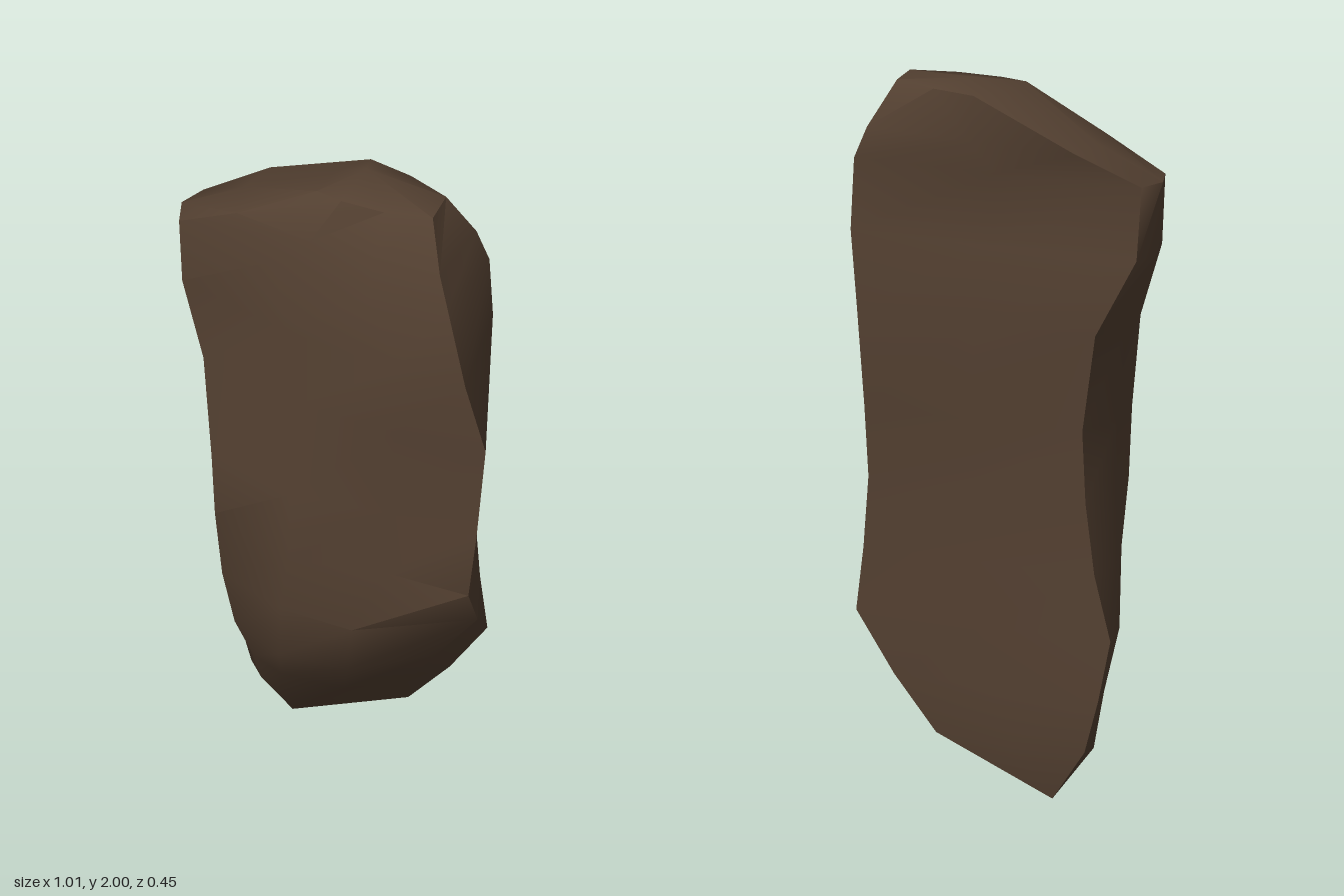
import * as THREE from 'three';
import { toCreasedNormals } from 'three/addons/utils/BufferGeometryUtils.js';

// Each section: height, then x, z of the corners
// front left, front ridge, front slope, front right, back right, back left
const sections = [
  [0.15, -0.30, -0.10, -0.22, -0.07, -0.12, -0.09, -0.02, -0.13, 0.10, -0.21, -0.36, -0.21],
  [0.30, -0.27, 0.00, -0.16, 0.04, 0.02, 0.02, 0.16, -0.10, 0.23, -0.21, -0.40, -0.205],
  [0.47, -0.28, 0.09, -0.10, 0.17, 0.10, 0.14, 0.28, -0.03, 0.345, -0.215, -0.43, -0.19],
  [0.65, -0.30, 0.125, -0.08, 0.195, 0.14, 0.19, 0.42, -0.02, 0.33, -0.20, -0.375, -0.18],
  [0.85, -0.32, 0.13, -0.04, 0.225, 0.22, 0.15, 0.475, 0.135, 0.315, -0.20, -0.345, -0.175],
  [1.05, -0.325, 0.14, -0.05, 0.195, 0.22, 0.145, 0.495, 0.125, 0.325, -0.205, -0.33, -0.165],
  [1.33, -0.38, 0.085, -0.05, 0.15, 0.25, 0.14, 0.51, 0.10, 0.34, -0.22, -0.375, -0.175],
  [1.55, -0.46, 0.06, -0.10, 0.13, 0.25, 0.145, 0.46, 0.125, 0.365, -0.21, -0.485, -0.14],
  [1.75, -0.47, 0.06, -0.15, 0.10, 0.15, 0.11, 0.375, 0.07, 0.365, -0.19, -0.48, -0.10],
  [1.84, -0.29, 0.06, -0.05, 0.08, 0.15, 0.075, 0.34, 0.05, 0.33, -0.18, -0.31, -0.17],
  [1.97, -0.06, 0.02, 0.02, 0.03, 0.15, 0.02, 0.28, -0.02, 0.265, -0.125, 0.00, -0.18],
];
const bottomTip = [-0.25, 0, -0.19];
const topTip = [0.03, 2, -0.1];

function slabGeometry() {
  const n = 8, positions = [], index = [];
  for (const [y, ...c] of sections) {
    for (let i = 0; i < 12; i += 2) {
      positions.push(c[i], y, c[i + 1]);
      // Slight swell in the middle of the back face
      if (i === 8) positions.push((c[8] + c[10]) / 2, y, (c[9] + c[11]) / 2 - 0.012);
    }
    // Swell in the middle of the left side
    positions.push((c[0] + c[10]) / 2 - 0.03, y, (c[1] + c[11]) / 2);
  }
  positions.push(...bottomTip, ...topTip);
  const top = (sections.length - 1) * n, bottomIndex = top + n, topIndex = bottomIndex + 1;

  for (let i = 0; i < n; i++) {
    const j = (i + 1) % n;
    // Sides
    for (let s = 0; s < top; s += n) {
      index.push(s + i, s + j, s + j + n, s + i, s + j + n, s + i + n);
    }
    // Pointed ends
    index.push(bottomIndex, j, i, topIndex, top + i, top + j);
  }
  const geometry = new THREE.BufferGeometry();
  geometry.setAttribute('position', new THREE.Float32BufferAttribute(positions, 3));
  geometry.setIndex(index);
  return toCreasedNormals(geometry, 1.0);
}

export function createModel() {
  const group = new THREE.Group();
  group.name = 'rock';
  const brownStone = new THREE.MeshStandardMaterial({ color: 0x523f30 });
  brownStone.name = 'brown stone';
  const slab = new THREE.Mesh(slabGeometry(), brownStone);
  slab.name = 'stoneSlab';
  group.add(slab);
  return group;
}
